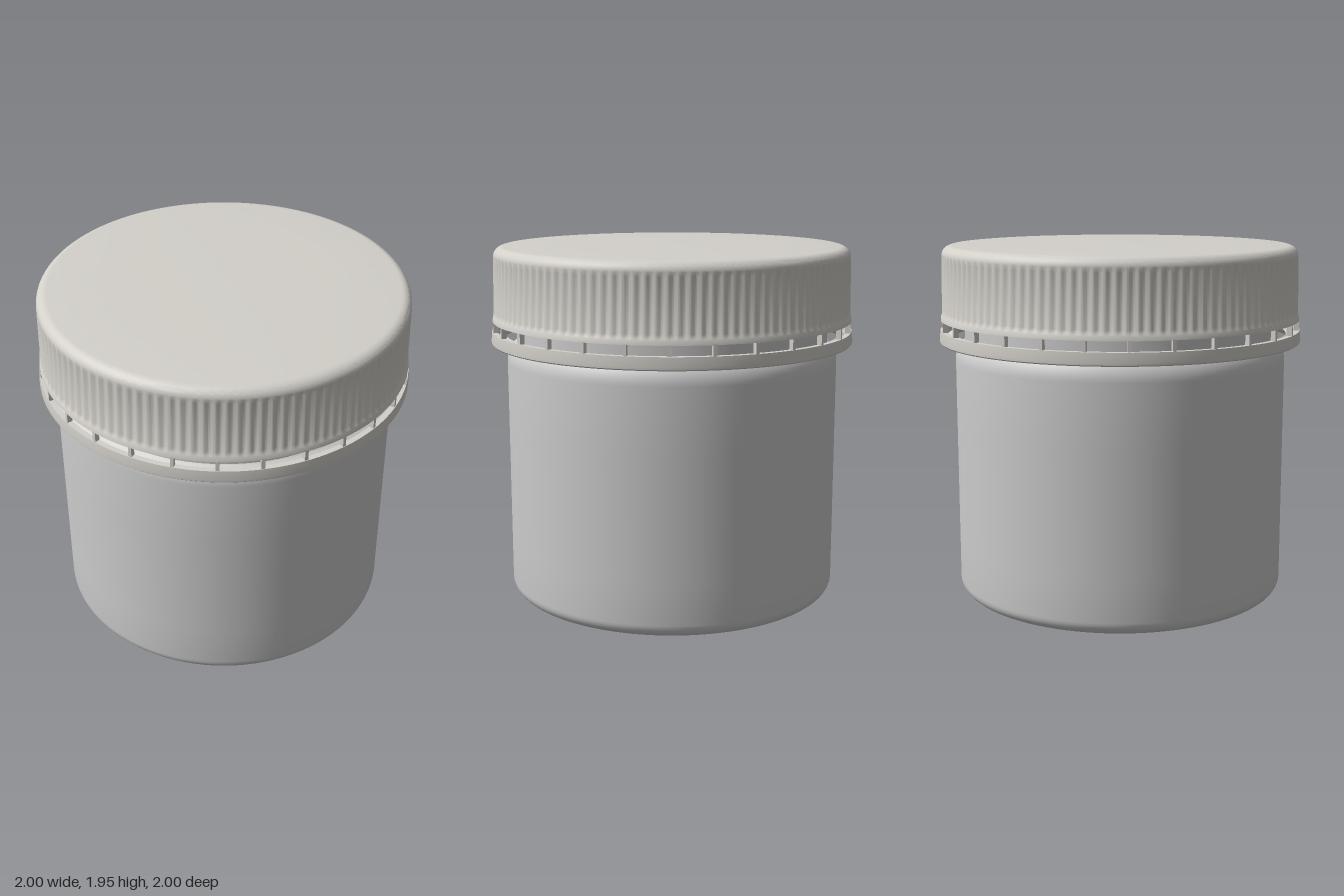
import * as THREE from 'three';
import { toCreasedNormals } from 'three/addons/utils/BufferGeometryUtils.js';

const RIBS = 112, SLOTS = 28;
const jarMaterial = new THREE.MeshStandardMaterial({ color: 0xcccfcd });
const lidMaterial = new THREE.MeshStandardMaterial({ color: 0xd3d0ca });

// Points of a rounded corner, from angle a0 to a1 (degrees)
function arc(cx, cy, r, a0, a1, n = 6, ry = r) {
  return Array.from({ length: n + 1 }, (_, i) => {
    const a = THREE.MathUtils.degToRad(a0 + (a1 - a0) * i / n);
    return [cx + r * Math.cos(a), cy + ry * Math.sin(a)];
  });
}

function lathe(name, profile, material, segments, deform) {
  const geometry = new THREE.LatheGeometry(profile.map(p => new THREE.Vector2(...p)), segments);
  if (deform) deform(geometry.attributes.position);
  const mesh = new THREE.Mesh(toCreasedNormals(geometry, 0.6), material);
  mesh.name = name;
  return mesh;
}

// Push the lid's outer wall in and out to make vertical grip ribs
function addRibs(position) {
  for (let i = 0; i < position.count; i++) {
    const x = position.getX(i), y = position.getY(i), z = position.getZ(i);
    const r = Math.hypot(x, z);
    if (r < 0.97 || y < 1.58 || y > 1.88) continue;
    const wave = 0.5 - 0.5 * Math.cos(Math.atan2(x, z) * RIBS);
    const k = (r - 0.01 * wave) / r;
    position.setXYZ(i, x * k, y, z * k);
  }
}

export function createModel() {
  const model = new THREE.Group();
  model.name = 'jar';

  // Hollow jar: recessed base, rounded foot, straight wall, shoulder, neck, inside
  model.add(lathe('jarBody', [
    [0, 0.02], [0.815, 0.02], [0.835, 0],
    ...arc(0.84, 0.075, 0.075, -90, 0, 8),
    [0.915, 0.3], [0.915, 0.97],
    ...arc(0.815, 1.32, 0.1, 0, 62, 8, 0.12),
    [0.862, 1.47], [0.862, 1.86], [0.85, 1.87], [0.81, 1.87], [0.8, 1.86],
    [0.8, 1.42], [0.85, 1.3], [0.85, 0.12], [0.79, 0.06], [0, 0.06],
  ], jarMaterial, 128));

  // Screw thread hidden beneath the cap
  for (const y of [1.66, 1.76]) {
    const thread = new THREE.Mesh(new THREE.TorusGeometry(0.865, 0.018, 8, 96), jarMaterial);
    thread.name = 'neckThread';
    thread.rotation.x = Math.PI / 2;
    thread.position.y = y;
    model.add(thread);
  }

  const lid = new THREE.Group();
  lid.name = 'lid';
  model.add(lid);

  // Ribbed cap with a slightly domed top
  lid.add(lathe('cap', [
    [0, 1.9], [0.9, 1.9], [0.93, 1.87], [0.93, 1.6], [0.955, 1.56], [0.955, 1.54],
    [0.992, 1.54], [0.989, 1.562], [0.985, 1.57], [0.984, 1.59], [0.98, 1.868], [0.979, 1.89],
    ...arc(0.922, 1.89, 0.057, 0, 90, 8, 0.054),
    [0.6, 1.949], [0.27, 1.953], [0, 1.953],
  ], lidMaterial, RIBS * 8, addRibs));

  // Tamper band with an inward lip
  lid.add(lathe('tamperBand', [
    [0.965, 1.485], [0.96, 1.45], [0.925, 1.47], [0.92, 1.462], [0.955, 1.42],
    [0.993, 1.416], [0.999, 1.422], [1, 1.435], [0.995, 1.485], [0.965, 1.485],
  ], lidMaterial, 168));

  // Thin bridges joining the band to the cap
  const bridgeGeometry = new THREE.BoxGeometry(0.018, 0.06, 0.028);
  for (let i = 0; i < SLOTS; i++) {
    const a = (i + 0.05) / SLOTS * Math.PI * 2;
    const bridge = new THREE.Mesh(bridgeGeometry, lidMaterial);
    bridge.name = 'bridge';
    bridge.position.set(0.978 * Math.sin(a), 1.5125, 0.978 * Math.cos(a));
    bridge.rotation.y = a;
    lid.add(bridge);
  }
  return model;
}
